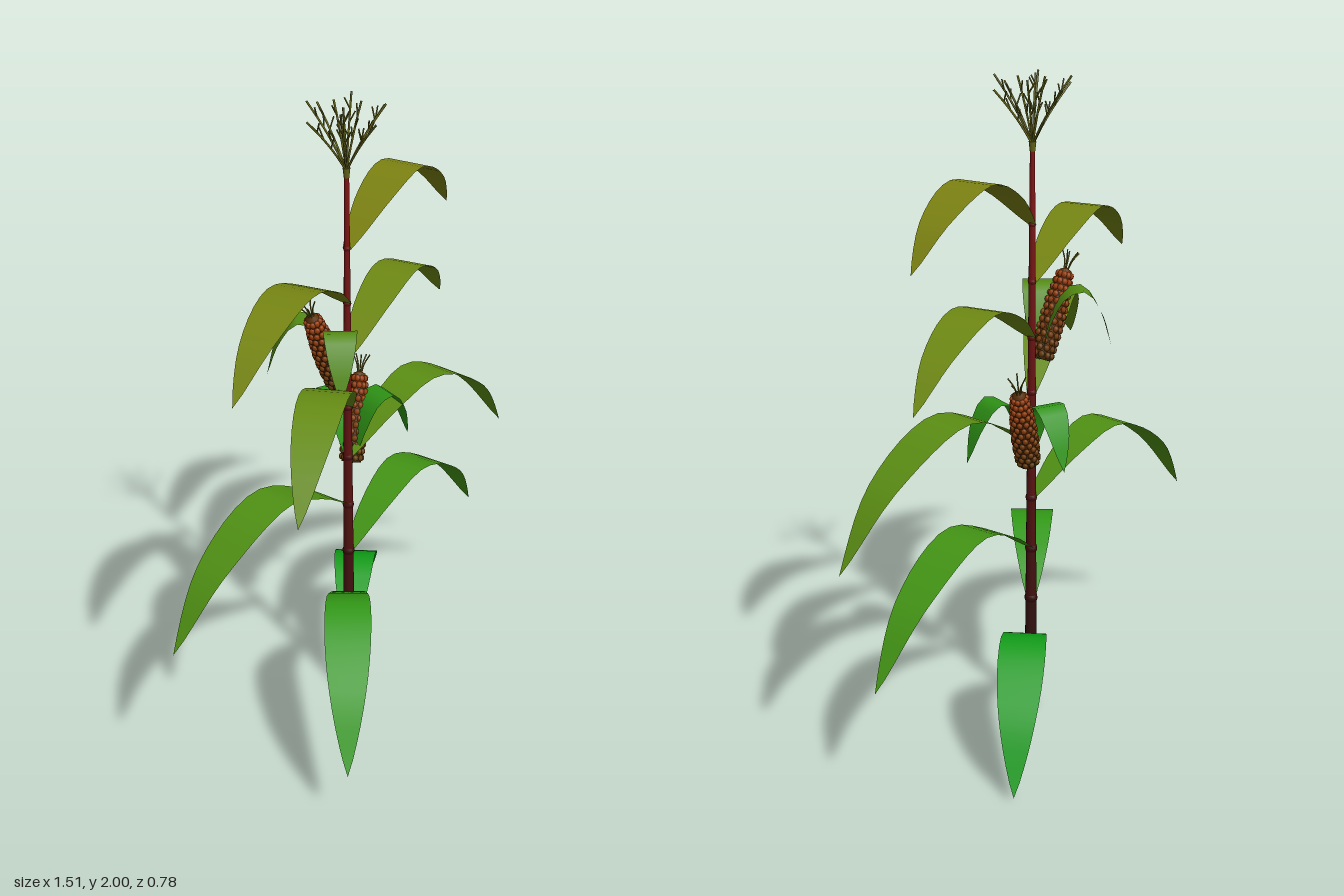
import * as THREE from 'three';
import { mergeGeometries } from 'three/addons/utils/BufferGeometryUtils.js';
import { ParametricGeometry } from 'three/addons/geometries/ParametricGeometry.js';

const V = (x, y, z = 0) => new THREE.Vector3(x, y, z);
const SX = -0.015, SZ = -0.05; // stalk axis
const STALK_TOP = 1.8;
const stalkRadius = (y) => 0.02 - 0.0125 * (y / STALK_TOP);
const mix = (a, b, t) => new THREE.Color(a).lerp(new THREE.Color(b), Math.min(1, Math.max(0, t)));

function part(name, geometry, color, side = THREE.FrontSide) {
  const mesh = new THREE.Mesh(geometry, new THREE.MeshStandardMaterial({ color, side, roughness: 0.8 }));
  mesh.name = name;
  return mesh;
}

// Flat pointed blade swept along an arch in the local xy plane
function bladeGeometry(points, halfWidth, steps) {
  const curve = new THREE.CatmullRomCurve3(points, false, 'centripetal');
  return new ParametricGeometry((u, v, target) => {
    curve.getPointAt(v, target);
    const w = halfWidth * Math.pow(Math.max(0, Math.sin(Math.PI * (0.05 + 0.95 * v))), 0.85);
    target.z += (0.5 - u) * 2 * w;
  }, 4, steps);
}

// Long leaf given its base height, peak (x, y) and tip (x, y, z)
function makeLeaf([baseY, peakX, peakY, tipX, tipY, tipZ]) {
  const dx = tipX - SX, dz = tipZ - SZ;
  const reach = Math.hypot(dx, dz);
  const p = reach * (peakX - SX) / dx;
  const points = [
    V(0, baseY),
    V(p * 0.5, baseY + 0.68 * (peakY - baseY)),
    V(p, peakY),
    V(p + 0.6 * (reach - p), peakY - 0.38 * (peakY - tipY)),
    V(reach, tipY),
  ];
  const leaf = part('leaf', bladeGeometry(points, 0.07, 18), mix(0x0f9a16, 0x7c8212, (baseY - 0.2) / 1.35), THREE.DoubleSide);
  leaf.position.set(SX, 0, SZ);
  leaf.rotation.y = Math.atan2(-dz, dx);
  return leaf;
}

const twig = (points, r, steps = 5) =>
  new THREE.TubeGeometry(new THREE.CatmullRomCurve3(points), steps, r, 5);

// Ear: tapered cob with kernel rows, silk on top and two arching husk leaves
function makeEar(y, azimuth) {
  const ear = new THREE.Group();
  ear.name = 'ear';
  const cob = new THREE.Group();
  cob.name = 'cob';
  const length = 0.275, rows = 13, perRow = 10;
  const radiusAt = (t) => 0.031 + 0.006 * Math.sin(Math.PI * t) - 0.012 * t * t;
  const profile = [new THREE.Vector2(0, 0)];
  for (let i = 0; i <= 8; i++) profile.push(new THREE.Vector2(radiusAt(i / 8), length * i / 8));
  profile.push(new THREE.Vector2(0, length + 0.008));
  cob.add(part('cobCore', new THREE.LatheGeometry(profile, 14), 0x5c3208));

  for (let i = 0; i < rows; i++) {
    const t = (i + 0.7) / (rows + 0.4), kernels = [];
    for (let k = 0; k < perRow; k++) {
      const a = (k + (i % 2) / 2) / perRow * Math.PI * 2;
      const kernel = new THREE.SphereGeometry(1, 7, 5);
      kernel.scale(0.008, 0.0105, 0.0095);
      kernel.translate(radiusAt(t), length * t, 0);
      kernel.rotateY(a);
      kernels.push(kernel);
    }
    cob.add(part('kernelRow', mergeGeometries(kernels), mix(0x5e3a08, 0x9c3c0a, t)));
  }

  const silk = [];
  for (let k = 0; k < 5; k++) {
    const a = k / 5 * Math.PI * 2 + 0.4, c = Math.cos(a), s = Math.sin(a);
    silk.push(twig([
      V(0.006 * c, length, 0.006 * s),
      V(0.012 * c, length + 0.03, 0.012 * s),
      V(0.028 * c, length + 0.06, 0.028 * s),
    ], 0.0022));
  }
  cob.add(part('silk', mergeGeometries(silk), 0x6a6414));
  cob.position.set(0.04, 0, 0);
  cob.rotation.z = -0.42;
  ear.add(cob);

  // Husks
  const arch = [V(0, 0), V(0.03, 0.12), V(0.075, 0.2), V(0.13, 0.215), V(0.18, 0.15), V(0.215, 0.04)];
  for (const side of [-1, 1]) {
    const husk = part('husk', bladeGeometry(arch, 0.05, 14), mix(0x2f9416, 0x548c14, (y - 0.85) / 0.3), THREE.DoubleSide);
    husk.position.set(0.035, 0, 0);
    husk.rotation.y = side * 0.75;
    ear.add(husk);
  }
  ear.position.set(SX, y, SZ);
  ear.rotation.y = azimuth;
  return ear;
}

// Tassel: spreading branches carrying small side twigs
function makeTassel() {
  const pieces = [];
  const add = (a, spread, height) => {
    const dir = V(Math.cos(a), 0, Math.sin(a));
    const at = (t) => dir.clone().multiplyScalar(spread * (0.75 * t + 0.25 * t * t)).setY(height * t);
    pieces.push(twig([at(0), at(0.35), at(0.7), at(1)], 0.0032, 8));
    const across = V(-dir.z, 0, dir.x);
    [0.45, 0.62, 0.78].forEach((t, i) => {
      const start = at(t);
      const end = start.clone().addScaledVector(across, i % 2 ? 0.017 : -0.017)
        .addScaledVector(dir, 0.004).add(V(0, 0.032));
      pieces.push(twig([start, start.clone().lerp(end, 0.5), end], 0.0023, 2));
    });
  };
  for (let i = 0; i < 8; i++) add(i / 8 * Math.PI * 2 + 0.2, i % 2 ? 0.11 : 0.135, i % 2 ? 0.195 : 0.165);
  for (let i = 0; i < 3; i++) add(i / 3 * Math.PI * 2 + 0.5, 0.045, 0.195);
  const tassel = part('tassel', mergeGeometries(pieces), 0x66661a);
  tassel.position.set(SX, STALK_TOP, SZ);
  return tassel;
}

export function createModel() {
  const plant = new THREE.Group();
  plant.name = 'maizePlant';

  // Leaves: base y, peak x, peak y, tip x, tip y, tip z
  const leaves = [
    [0.20, 0.19, 0.37, 0.44, 0.02, -0.39],
    [0.38, -0.24, 0.545, -0.52, 0.20, 0.39],
    [0.55, 0.32, 0.715, 0.725, 0.38, -0.13],
    [0.72, -0.35, 0.885, -0.76, 0.55, -0.06],
    [0.89, 0.33, 1.06, 0.755, 0.72, -0.035],
    [1.06, -0.32, 1.27, -0.615, 1.05, 0.305],
    [1.23, 0.32, 1.395, 0.635, 1.19, -0.215],
    [1.40, -0.35, 1.565, -0.665, 1.37, 0.13],
    [1.57, 0.28, 1.74, 0.555, 1.54, -0.135],
  ];
  leaves.forEach((leaf) => plant.add(makeLeaf(leaf)));

  // Stalk segments between leaf joints, dark at the foot and red at the top
  const joints = [0, ...leaves.map((leaf) => leaf[0]), STALK_TOP];
  for (let i = 0; i < joints.length - 1; i++) {
    const a = joints[i], b = joints[i + 1];
    const color = mix(0x15100e, 0x7c1414, a / 1.6);
    const segment = part('stalkSegment', new THREE.CylinderGeometry(stalkRadius(b), stalkRadius(a), b - a, 12), color);
    segment.position.set(SX, (a + b) / 2, SZ);
    plant.add(segment);
    if (i === 0) continue;
    const joint = part('stalkJoint', new THREE.SphereGeometry(stalkRadius(a) * 1.2, 12, 8), color.clone().multiplyScalar(0.6));
    joint.position.set(SX, a, SZ);
    plant.add(joint);
  }

  // Slim green collar under the tassel
  const collar = part('tasselStem', new THREE.CylinderGeometry(0.011, 0.007, 0.035, 10), 0x66661a);
  collar.position.set(SX, STALK_TOP - 0.008, SZ);
  plant.add(collar, makeTassel());

  plant.add(makeEar(0.85, 0.48), makeEar(1.155, Math.PI));
  return plant;
}
